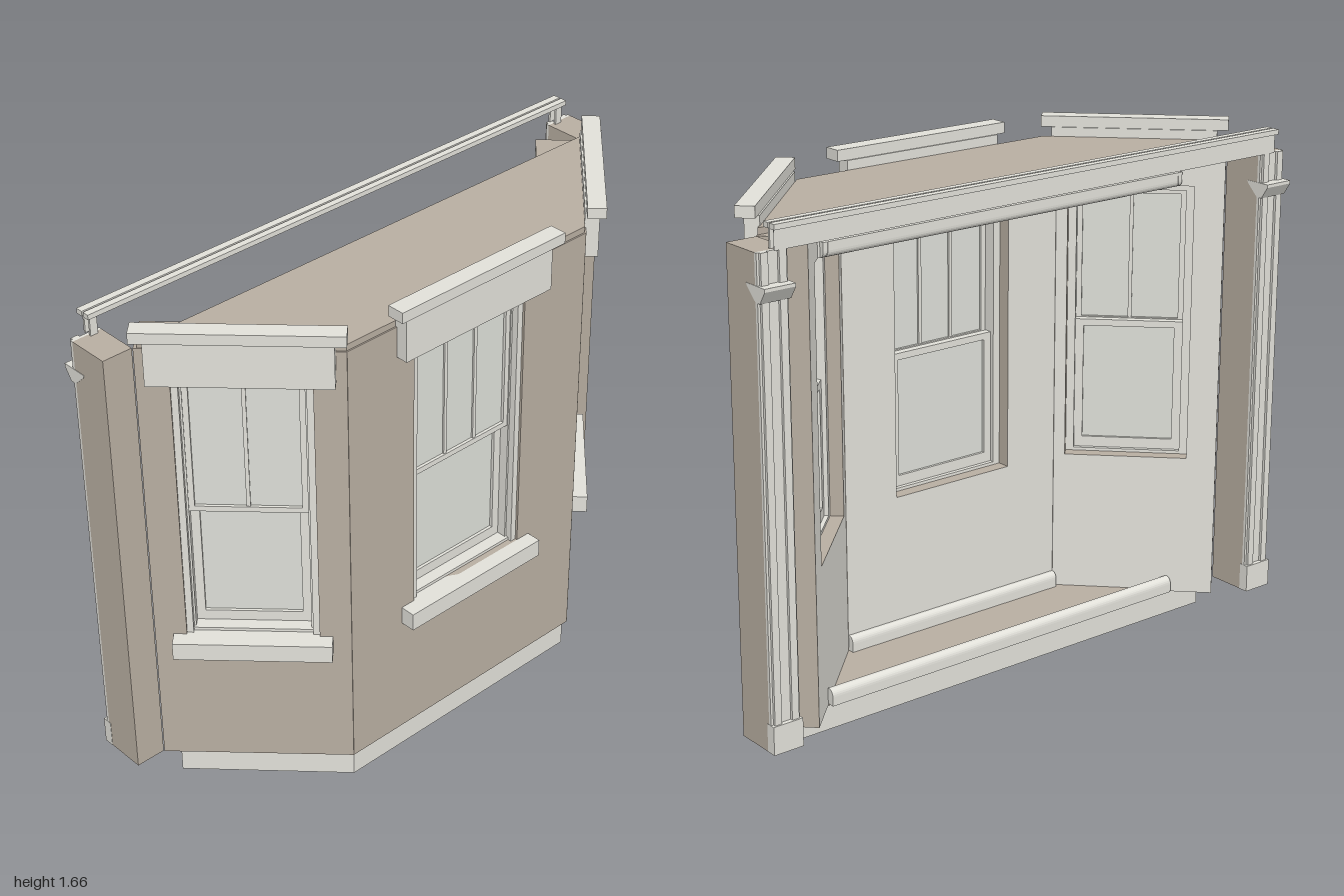
import * as THREE from 'three';

const wallMat = new THREE.MeshStandardMaterial({ color: 0xb9afa2 });
wallMat.name = 'stone wall';
const trimMat = new THREE.MeshStandardMaterial({ color: 0xe2e1da });
trimMat.name = 'painted trim';
const glassMat = new THREE.MeshStandardMaterial({ color: 0xdddfd8 });
glassMat.name = 'pale glass';

const T = 0.143;                         // wall thickness
const MITRE = T * Math.tan(Math.PI / 8); // corner set-back on the inner face
const Y0 = 0.09, Y1 = 1.58;              // wall bottom and top
const SILL = 0.565, HEAD = 1.48;         // window opening

function add(parent, name, geometry, material) {
  const mesh = new THREE.Mesh(geometry, material);
  mesh.name = name;
  parent.add(mesh);
  return mesh;
}

// Box given by its limits on each axis
function box(parent, name, [x0, x1], [y0, y1], [z0, z1], material = trimMat) {
  const mesh = add(parent, name, new THREE.BoxGeometry(x1 - x0, y1 - y0, z1 - z0), material);
  mesh.position.set((x0 + x1) / 2, (y0 + y1) / 2, (z0 + z1) / 2);
}

// Horizontal slab from a plan outline of [x, z] points
function slab(parent, name, plan, y0, y1, material) {
  const shape = new THREE.Shape(plan.map(([x, z]) => new THREE.Vector2(x, -z)));
  const geo = new THREE.ExtrudeGeometry(shape, { depth: y1 - y0, bevelEnabled: false });
  geo.rotateX(-Math.PI / 2);
  add(parent, name, geo, material).position.y = y0;
}

// Wall panel with a window hole; local +z is outdoors, mitred ends lean inward
function wallPanel(parent, length, openW, mitreLeft, mitreRight) {
  const h = length / 2, w = openW / 2;
  const rect = (x, a, b) => [[-x, a], [x, a], [x, b], [-x, b]].map(p => new THREE.Vector2(...p));
  const shape = new THREE.Shape(rect(h, Y0, Y1));
  shape.holes.push(new THREE.Path(rect(w, SILL, HEAD).reverse()));
  const geo = new THREE.ExtrudeGeometry(shape, { depth: T, bevelEnabled: false });
  geo.translate(0, 0, -T);
  const p = geo.attributes.position;
  for (let i = 0; i < p.count; i++) {
    if (p.getZ(i) > -T + 0.001) continue;
    const x = p.getX(i);
    if (mitreRight && x > h - 0.001) p.setX(i, x - MITRE);
    if (mitreLeft && x < -h + 0.001) p.setX(i, x + MITRE);
  }
  geo.computeVertexNormals();
  // inner face is painted, outer face and reveals are stone
  const lids = geo.groups[0].count, total = p.count;
  geo.clearGroups();
  geo.addGroup(0, lids / 2, 0);
  geo.addGroup(lids / 2, total - lids / 2, 1);
  add(parent, 'wallPanel', geo, [trimMat, wallMat]);
}

// Rounded moulding running along x, standing out toward -z
function moulding(parent, name, x0, x1, y, z, height, depth, hanging) {
  const s = new THREE.Shape();
  s.moveTo(0, 0);
  s.lineTo(depth, 0);
  s.lineTo(depth, height * 0.55);
  s.quadraticCurveTo(depth, height * 0.9, depth * 0.4, height);
  s.lineTo(0, height);
  const geo = new THREE.ExtrudeGeometry(s, { depth: x1 - x0, bevelEnabled: false, curveSegments: 5 });
  geo.rotateY(Math.PI / 2);
  geo.translate(-(x1 - x0) / 2, 0, 0);
  if (hanging) geo.rotateX(Math.PI).rotateY(Math.PI);
  add(parent, name, geo, trimMat).position.set((x0 + x1) / 2, y, z);
}

// One sash: stiles, rails, glass and vertical bars
function sash(parent, name, w, y0, y1, z, panes, bottomRail, stile) {
  const g = new THREE.Group();
  g.name = name;
  parent.add(g);
  const h = w / 2, r = 0.022, d = [z - 0.025, z], inner = h - stile;
  box(g, 'stile', [-h, -inner], [y0, y1], d);
  box(g, 'stile', [inner, h], [y0, y1], d);
  box(g, 'topRail', [-inner, inner], [y1 - r, y1], d);
  box(g, 'bottomRail', [-inner, inner], [y0, y0 + bottomRail], d);
  box(g, 'glass', [-inner, inner], [y0 + bottomRail, y1 - r], [z - 0.016, z - 0.01], glassMat);
  for (let i = 1; i < panes; i++) {
    const x = -inner + 2 * inner * i / panes;
    box(g, 'glazingBar', [x - 0.006, x + 0.006], [y0 + bottomRail, y1 - r], [z - 0.022, z - 0.004]);
  }
}

// Sash window with frame, sill and hood
function windowUnit(parent, w, panes, hoodW, capW, sillW) {
  const g = new THREE.Group();
  g.name = 'window';
  parent.add(g);
  const h = w / 2;
  for (const k of [-1, 1]) {
    const span = (a, b) => [k * a, k * b].sort((p, q) => p - q);
    box(g, 'outerStop', span(h, h - 0.02), [SILL, HEAD], [-0.03, -0.008]);
    box(g, 'jamb', span(h, h - 0.026), [SILL, HEAD], [-0.1, -0.03]);
  }
  box(g, 'frameHead', [-h, h], [HEAD - 0.025, HEAD], [-0.1, -0.015]);
  box(g, 'frameFoot', [-h, h], [SILL, SILL + 0.01], [-0.1, -0.02]);
  sash(g, 'upperSash', w - 0.05, 1.0, HEAD - 0.025, -0.034, panes, 0.018, 0.018);
  sash(g, 'lowerSash', w - 0.05, SILL + 0.01, 1.015, -0.061, 1, 0.035, 0.028);
  box(g, 'sill', [-sillW / 2, sillW / 2], [0.505, SILL], [-0.03, 0.05]);
  box(g, 'hood', [-hoodW / 2, hoodW / 2], [HEAD, 1.63], [-0.005, 0.04]);
  box(g, 'hoodCap', [-capW / 2, capW / 2], [1.63, 1.665], [0, 0.058]);
}

// Pier with a ribbed casing and a flared capital on its back
function pier(parent, side) {
  const g = new THREE.Group();
  g.name = side > 0 ? 'leftPier' : 'rightPier';
  parent.add(g);
  const X = (a, b) => [side * a, side * b].sort((p, q) => p - q);
  box(g, 'pierBlock', X(0.9, 1), [Y0, Y1], [-0.288, -0.15], wallMat);
  box(g, 'casing', X(0.9, 1), [Y0, Y1], [-0.298, -0.288]);
  for (const x of [0.908, 0.968]) box(g, 'casingRib', X(x, x + 0.024), [Y0, Y1], [-0.307, -0.298]);
  box(g, 'casingFoot', X(0.899, 1.001), [Y0, 0.18], [-0.313, -0.28]);
  // capital: wedge widening upward
  const cap = new THREE.Shape([[0.29, 1.44], [0.31, 1.44], [0.335, 1.478], [0.335, 1.488], [0.245, 1.488], [0.25, 1.478]]
    .map(p => new THREE.Vector2(...p)));
  const geo = new THREE.ExtrudeGeometry(cap, { depth: 0.102, bevelEnabled: false });
  geo.rotateY(Math.PI / 2);
  add(g, 'capital', geo, trimMat).position.x = side > 0 ? 0.899 : -1.001;
}

// Head rail: two flanges, end stems and a web facing the back
function headRail(parent) {
  const g = new THREE.Group();
  g.name = 'headRail';
  parent.add(g);
  box(g, 'backFlange', [-0.955, 0.955], [1.64, 1.656], [-0.32, -0.296]);
  box(g, 'frontFlange', [-0.955, 0.955], [1.64, 1.656], [-0.29, -0.268]);
  box(g, 'flangeLink', [-0.95, 0.95], [1.64, 1.65], [-0.296, -0.29]);
  const web = add(g, 'web', new THREE.PlaneGeometry(1.9, 0.06), trimMat);
  web.rotation.y = Math.PI;
  web.position.set(0, 1.61, -0.309);
  for (const side of [-1, 1]) {
    for (const z of [-0.308, -0.283]) {
      const x = [side * 0.92, side * 0.945].sort((a, b) => a - b);
      box(g, 'endStem', x, [Y1, 1.64], [z, z + 0.007]);
    }
  }
}

export function createModel() {
  const model = new THREE.Group();
  model.name = 'bayWindow';

  // Plinth, floor and roof
  slab(model, 'plinth', [[-0.85, -0.125], [-0.47, 0.26], [0.47, 0.26], [0.85, -0.125]], 0, 0.09, trimMat);
  const plan = [[-0.89, -0.14], [-0.478, 0.267], [0.478, 0.267], [0.89, -0.14]];
  slab(model, 'floor', plan, 0.088, 0.096, wallMat);
  slab(model, 'roof', plan, 1.52, 1.6, wallMat);

  // Front wall
  const front = new THREE.Group();
  front.name = 'frontBay';
  front.position.z = 0.272;
  model.add(front);
  wallPanel(front, 0.96, 0.45, true, true);
  windowUnit(front, 0.45, 3, 0.585, 0.65, 0.55);
  moulding(front, 'baseboard', -0.42, 0.42, 0.095, -T, 0.052, 0.022, false);
  moulding(front, 'crown', -0.42, 0.42, 1.53, -T, 0.048, 0.03, true);

  // Angled side walls and piers
  for (const side of [-1, 1]) {
    const bay = new THREE.Group();
    bay.name = side > 0 ? 'leftBay' : 'rightBay';
    bay.position.set(side * 0.69, 0, 0.0625);
    bay.rotation.y = side * Math.PI / 4;
    model.add(bay);
    wallPanel(bay, 0.592, 0.4, side > 0, side < 0);
    windowUnit(bay, 0.4, 2, 0.53, 0.6, 0.48);
    const ends = [-0.235 * side, 0.15 * side].sort((a, b) => a - b);
    moulding(bay, 'crown', ends[0], ends[1], 1.53, -T, 0.048, 0.03, true);
    pier(model, side);
  }

  // Mouldings along the open back
  moulding(model, 'backBaseboard', -0.69, 0.69, 0.095, -0.14, 0.052, 0.025, false);
  moulding(model, 'backCrown', -0.69, 0.69, 1.53, -0.14, 0.048, 0.025, true);

  headRail(model);
  return model;
}
